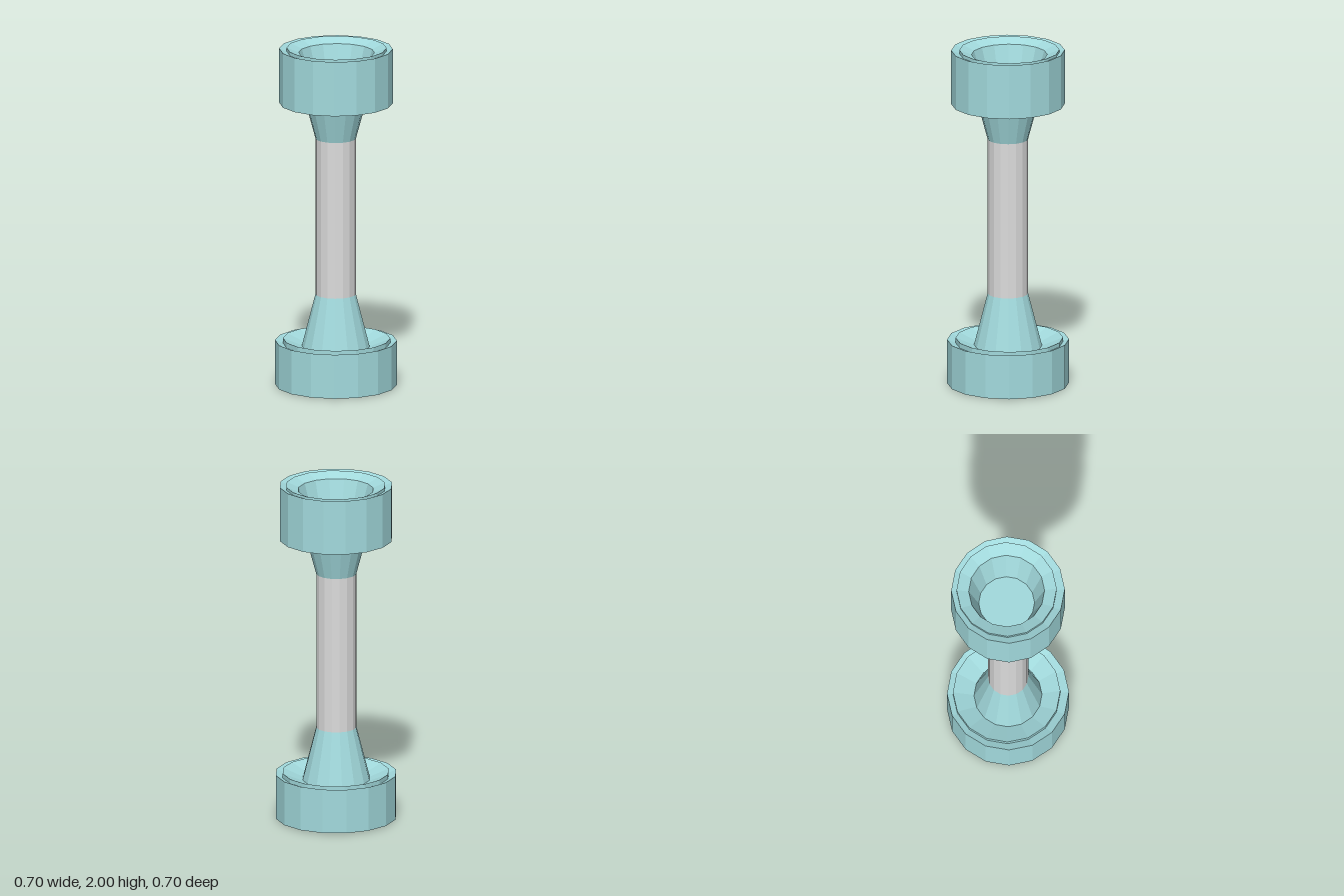
import * as THREE from 'three';

const SIDES = 16;

export function createModel() {
  const model = new THREE.Group();
  model.name = 'dumbbell';

  const teal = new THREE.MeshStandardMaterial({ color: 0xa2dadd });
  teal.name = 'pale teal';
  const grey = new THREE.MeshStandardMaterial({ color: 0xdcdcdc });
  grey.name = 'light grey';

  // Faceted solid of revolution; the profile runs up the outside
  function turned(name, profile, material) {
    const points = profile.map(([r, y]) => new THREE.Vector2(r, y));
    const geometry = new THREE.LatheGeometry(points, SIDES).toNonIndexed();
    geometry.computeVertexNormals();
    const mesh = new THREE.Mesh(geometry, material);
    mesh.name = name;
    return mesh;
  }

  // Weight with its stem side at local y = 0 and its hollow cup at y = h
  function weight(name, { r, lip, h, inset, cupRim, cupFloor, depth }) {
    const group = new THREE.Group();
    group.name = name;
    // Outer drum with shallow dished ends
    group.add(turned('drum', [
      [0.15, inset + (r - 0.15) * 0.4],
      [r, inset],
      [r, h - 0.003],
      [lip - 0.02, h - 0.003 - (r - lip + 0.02) * 0.4],
    ], teal));
    // Inner ring standing slightly proud, dished towards the stem and the cup
    const insert = turned('dishedInsert', [
      [0.15, (lip - 0.15) * 0.4],
      [lip, 0],
      [lip, h],
      [cupRim, h - (lip - cupRim) * 0.4],
      [cupFloor, h - depth],
      [0, h - depth],
    ], teal);
    insert.position.set(0.006, 0, -0.006);
    group.add(insert);
    return group;
  }

  const upper = weight('upperWeight', {
    r: 0.328, lip: 0.289, h: 0.327, inset: 0.002, cupRim: 0.219, cupFloor: 0.161, depth: 0.23,
  });
  upper.position.y = 1.673;
  model.add(upper);

  const lower = weight('lowerWeight', {
    r: 0.352, lip: 0.31, h: 0.275, inset: 0.011, cupRim: 0.219, cupFloor: 0.163, depth: 0.21,
  });
  lower.rotation.x = Math.PI;
  lower.position.y = 0.275;
  lower.getObjectByName('dishedInsert').position.z *= -1;
  model.add(lower);

  // Handle with flared collars
  const handle = new THREE.Group();
  handle.name = 'handle';
  handle.add(
    turned('lowerCollar', [[0.2, 0.215], [0.117, 0.54]], teal),
    turned('grip', [[0.117, 0.54], [0.117, 1.465]], grey),
    turned('upperCollar', [[0.117, 1.465], [0.194, 1.75]], teal),
  );
  handle.position.x = -0.002;
  model.add(handle);

  return model;
}
